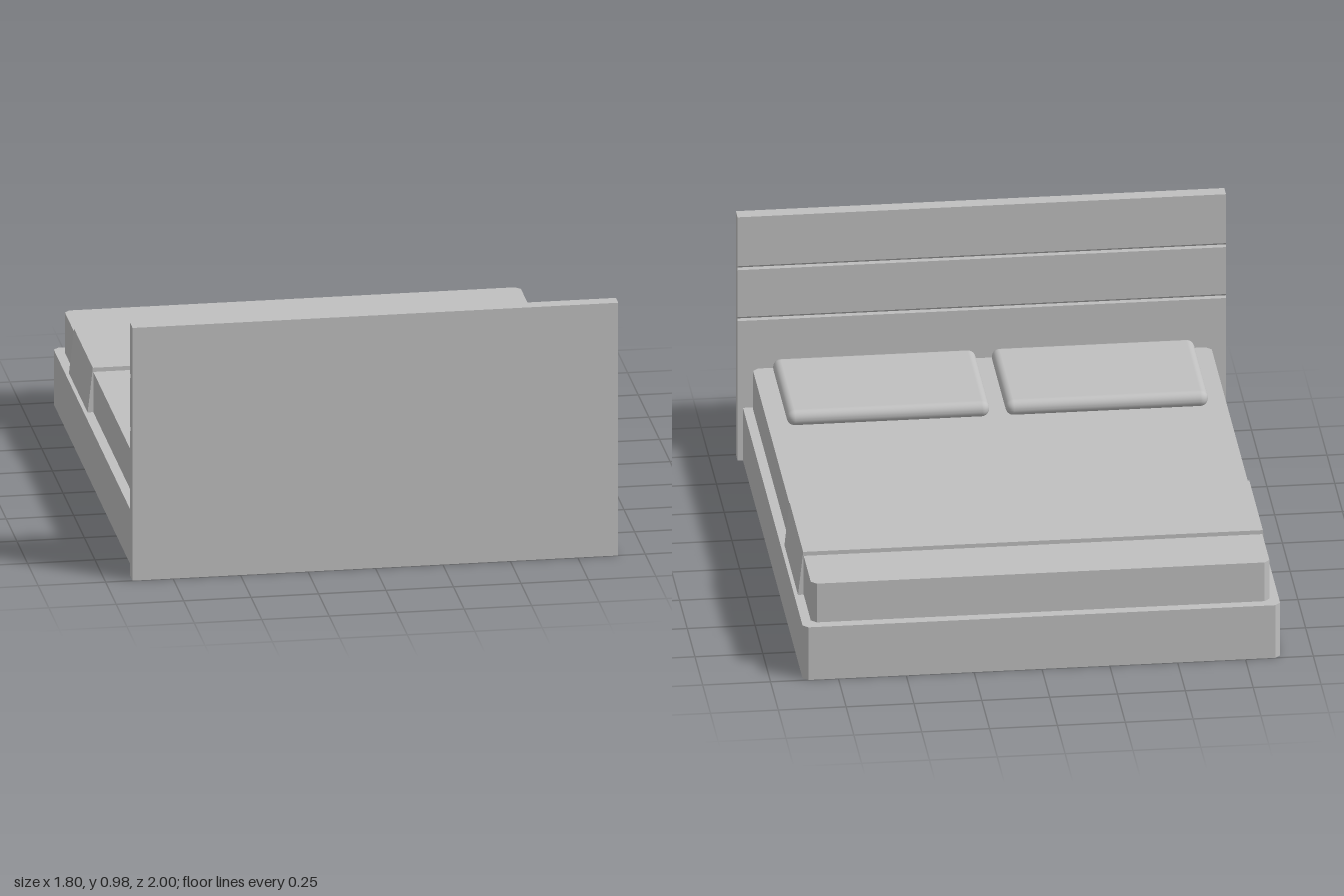
import * as THREE from 'three';
import { RoundedBoxGeometry } from 'three/addons/geometries/RoundedBoxGeometry.js';

const grey = new THREE.MeshStandardMaterial({ color: 0xc0c0c0 });
grey.name = 'light grey';

function shapeOf(points) {
  return new THREE.Shape(points.map(([x, y]) => new THREE.Vector2(x, y)));
}

// Extrude a (z, y) profile across the bed, centred on x = 0
function acrossBed(points, width) {
  const g = new THREE.ExtrudeGeometry(shapeOf(points), { depth: width, bevelEnabled: false });
  g.translate(0, 0, -width / 2);
  g.rotateY(-Math.PI / 2);
  g.scale(1, 1, 1);
  return g;
}

// Upright slab with cut corners at the foot and, if wanted, the head
function slab(halfW, zFoot, zHead, y0, y1, footCut, headCut) {
  const pts = [
    [-halfW + footCut, -zFoot], [-halfW, -zFoot - footCut],
    [-halfW, -zHead + headCut],
  ];
  if (headCut > 0) pts.push([-halfW + headCut, -zHead], [halfW - headCut, -zHead]);
  pts.push([halfW, -zHead + headCut], [halfW, -zFoot - footCut], [halfW - footCut, -zFoot]);
  const g = new THREE.ExtrudeGeometry(shapeOf(pts), { depth: y1 - y0, bevelEnabled: false });
  g.rotateX(-Math.PI / 2);
  g.translate(0, y0, 0);
  return g;
}

export function createModel() {
  const bed = new THREE.Group();
  bed.name = 'bed';
  const add = (name, geometry) => {
    const mesh = new THREE.Mesh(geometry, grey);
    mesh.name = name;
    bed.add(mesh);
    return mesh;
  };

  // Headboard with two shallow V grooves facing the mattress
  const inner = 0.945;
  const profile = [[1, 0], [1, 0.98], [inner, 0.98]];
  for (const y of [0.775, 0.57]) {
    profile.push([inner, y + 0.008], [inner + 0.007, y], [inner, y - 0.008]);
  }
  profile.push([inner, 0]);
  add('headboard', acrossBed(profile, 1.8));

  // Base and mattress
  add('base', slab(0.88, -1, inner, 0, 0.212, 0.02, 0));
  add('mattress', slab(0.845, -0.96, 0.944, 0.212, 0.368, 0.02, 0.02));

  // Folded blanket with slightly sloping sides
  const blanket = new THREE.ExtrudeGeometry(
    shapeOf([[-0.866, 0.212], [0.866, 0.212], [0.847, 0.384], [-0.847, 0.384]]),
    { depth: 0.44, bevelEnabled: false });
  blanket.translate(0, 0, -0.712);
  add('blanket', blanket);

  // Pair of pillows
  for (const side of [-1, 1]) {
    const pillow = add(side > 0 ? 'leftPillow' : 'rightPillow',
      new RoundedBoxGeometry(0.746, 0.06, 0.497, 4, 0.029));
    pillow.position.set(side * 0.403, 0.397, 0.662);
  }
  return bed;
}
